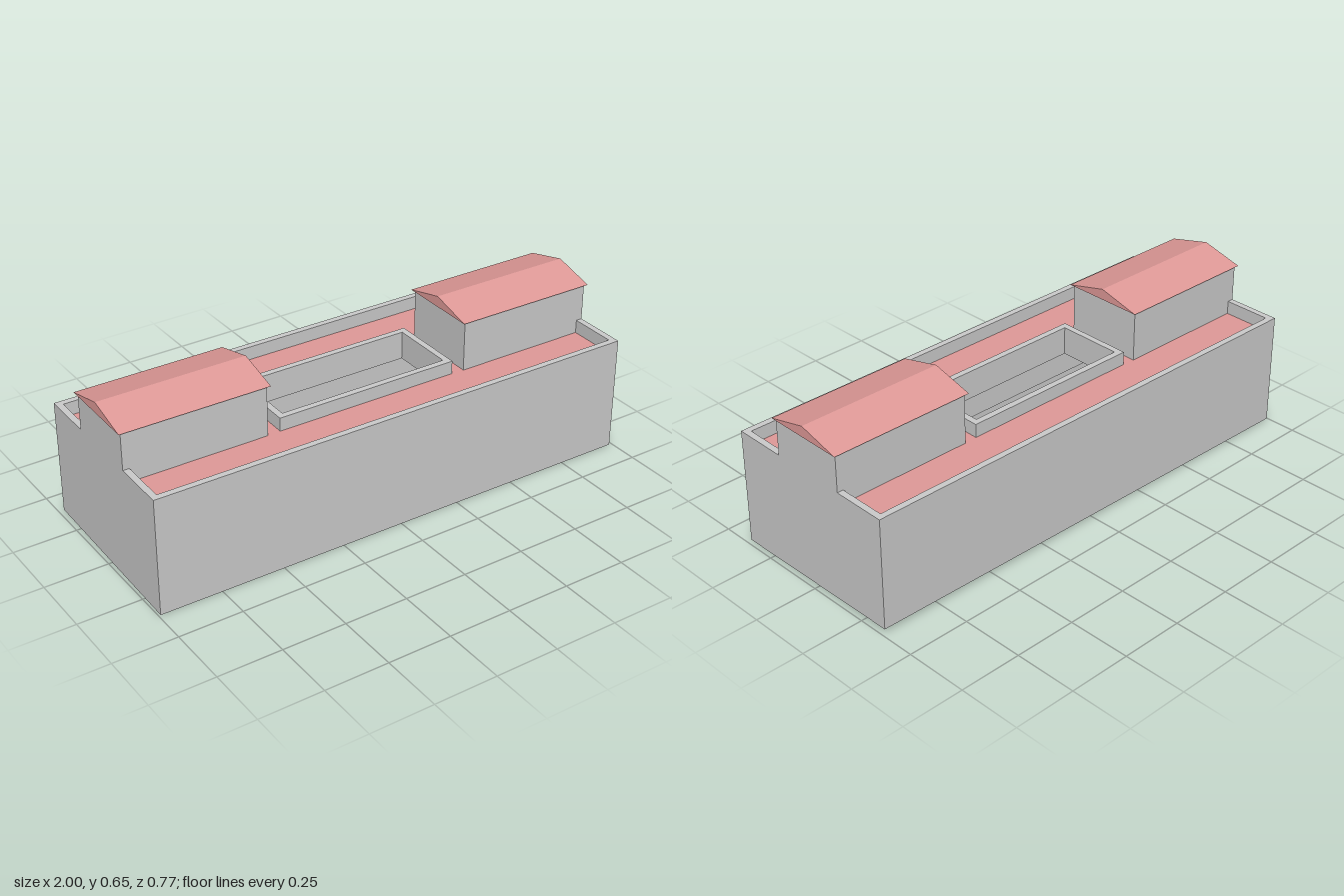
import * as THREE from 'three';

const grey = new THREE.MeshStandardMaterial({ color: 0xcccccc, flatShading: true });
const greySheet = new THREE.MeshStandardMaterial({ color: 0xcccccc, flatShading: true, side: THREE.DoubleSide });
const red = new THREE.MeshStandardMaterial({ color: 0xe09a98, flatShading: true });

// half sizes of the block, wall heights and courtyard
const HX = 0.988, HZ = 0.373, TOP = 0.463, WALL = 0.025;
const DECK = 0.41, CEILING = 0.36, LEDGE = 0.09;
const CX = 0.373, CZ = 0.156;

function rect(target, hx, hz) {
  target.moveTo(-hx, -hz);
  target.lineTo(hx, -hz);
  target.lineTo(hx, hz);
  target.lineTo(-hx, hz);
  target.closePath();
  return target;
}

// rectangular frame lying flat between two heights
function frame(name, outer, inner, y0, y1, material) {
  const shape = rect(new THREE.Shape(), ...outer);
  shape.holes.push(rect(new THREE.Path(), ...inner));
  const geo = new THREE.ExtrudeGeometry(shape, { depth: y1 - y0, bevelEnabled: false });
  geo.rotateX(-Math.PI / 2).translate(0, y0, 0);
  const mesh = new THREE.Mesh(geo, material);
  mesh.name = name;
  return mesh;
}

// thin wall base whose lower edge follows the sloping ground
function createWallBase() {
  const corners = [[HX, HZ, 0.004], [HX, -HZ, 0.022], [-HX, -HZ, 0.01], [-HX, HZ, 0]];
  const pos = [];
  corners.forEach(([x0, z0, b0], i) => {
    const [x1, z1, b1] = corners[(i + 1) % 4];
    pos.push(x0, b0, z0, x1, b1, z1, x1, LEDGE, z1);
    pos.push(x0, b0, z0, x1, LEDGE, z1, x0, LEDGE, z0);
  });
  const geo = new THREE.BufferGeometry();
  geo.setAttribute('position', new THREE.Float32BufferAttribute(pos, 3));
  geo.computeVertexNormals();
  const mesh = new THREE.Mesh(geo, greySheet);
  mesh.name = 'wallBase';
  return mesh;
}

// roof pavilion at one end: box walls and a low gable roof
function createPavilion(side) {
  const group = new THREE.Group();
  group.name = side > 0 ? 'leftPavilion' : 'rightPavilion';
  const x0 = 0.424, eave = 0.61;

  const walls = new THREE.Mesh(new THREE.BoxGeometry(HX - x0, eave - CEILING, 0.316), grey);
  walls.position.set(side * (HX + x0) / 2, (eave + CEILING) / 2, 0);
  walls.name = 'pavilionWalls';

  const gable = new THREE.Shape();
  gable.moveTo(-0.168, eave);
  gable.lineTo(0.168, eave);
  gable.lineTo(0, 0.653);
  gable.closePath();
  const length = 0.585;
  const geo = new THREE.ExtrudeGeometry(gable, { depth: length, bevelEnabled: false });
  geo.translate(0, 0, -length / 2).rotateY(Math.PI / 2);
  const roof = new THREE.Mesh(geo, red);
  roof.position.x = side * 0.7055;
  roof.name = 'pavilionRoof';

  group.add(walls, roof);
  return group;
}

export function createModel() {
  const building = new THREE.Group();
  building.name = 'building';
  const inner = [HX - WALL, HZ - WALL];
  const court = [CX - WALL, CZ - WALL];

  building.add(
    createWallBase(),
    frame('outerWalls', [HX, HZ], inner, LEDGE, TOP, grey),
    frame('roofSlab', inner, [CX, CZ], CEILING, DECK - 0.01, grey),
    frame('roofDeck', inner, [CX, CZ], DECK - 0.01, DECK, red),
    frame('courtyardParapet', [CX, CZ], court, CEILING - 0.01, TOP, grey),
    createPavilion(1),
    createPavilion(-1)
  );
  // the block stands slightly turned
  building.rotation.y = -0.0105;

  const model = new THREE.Group();
  model.name = 'courtyardBuilding';
  model.add(building);
  return model;
}
